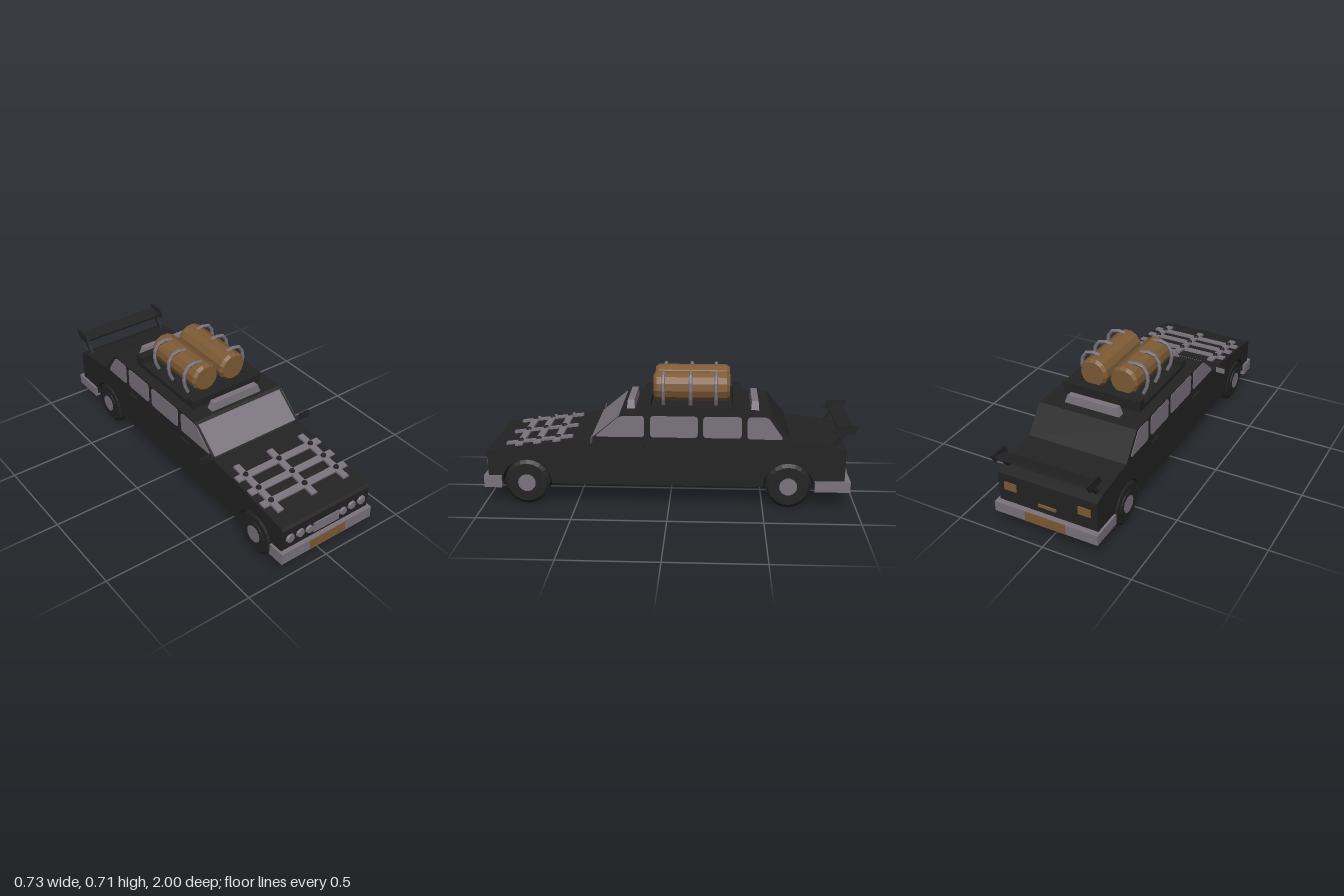
import * as THREE from 'three';

const mat = (name, color, extra = {}) => Object.assign(new THREE.MeshStandardMaterial({ color, ...extra }), { name });

export function createModel() {
  const car = new THREE.Group();
  car.name = 'armouredWagon';
  const black = mat('blackPaint', 0x232323);
  const grey = mat('greyMetal', 0x7a737d);
  const brown = mat('rustBrown', 0x7d5a35);
  const flatBrown = brown;
  flatBrown.flatShading = true;
  black.flatShading = true;
  grey.flatShading = true;

  const add = (name, geo, material, x = 0, y = 0, z = 0, rx = 0) => {
    const m = new THREE.Mesh(geo, material);
    m.name = name;
    m.position.set(x, y, z);
    m.rotation.x = rx;
    car.add(m);
    return m;
  };
  const box = (name, material, w, h, d, x, y, z, rx = 0) =>
    add(name, new THREE.BoxGeometry(w, h, d), material, x, y, z, rx);
  // extrude a side outline (drawn with -z across) along x, centred
  const sideSlab = (shape, width) => new THREE.ExtrudeGeometry(shape, { depth: width, bevelEnabled: false, curveSegments: 16 })
    .translate(0, 0, -width / 2).rotateY(Math.PI / 2);
  // polygon with rounded corners from [z, y] points
  const roundedOutline = (pts, r) => {
    const v = pts.map(([z, y]) => new THREE.Vector2(-z, y));
    const s = new THREE.Shape();
    v.forEach((p, i) => {
      const prev = v[(i + v.length - 1) % v.length], next = v[(i + 1) % v.length];
      const a = p.clone().add(prev.clone().sub(p).setLength(r));
      const b = p.clone().add(next.clone().sub(p).setLength(r));
      i ? s.lineTo(a.x, a.y) : s.moveTo(a.x, a.y);
      s.quadraticCurveTo(p.x, p.y, b.x, b.y);
    });
    s.closePath();
    return s;
  };

  // body shell with open wheel arches
  const FRONT = 0.765, REAR = -0.635, FLOOR = 0.118, ARCH = 0.135;
  const body = new THREE.Shape();
  body.moveTo(-0.97, FLOOR);
  for (const z of [FRONT, REAR]) {
    body.lineTo(-z - ARCH, FLOOR);
    body.absarc(-z, FLOOR, ARCH, Math.PI, 0, true);
  }
  [[-0.93, FLOOR], [-0.935, 0.325], [-0.88, 0.345], [-0.645, 0.37], [-0.535, 0.51], [0.25, 0.51],
    [0.415, 0.373], [0.76, 0.332], [0.965, 0.303], [0.977, 0.29]].forEach(([z, y]) => body.lineTo(-z, y));
  body.closePath();
  add('body', sideSlab(body, 0.568), black);

  // side windows
  const windows = [
    [[0.395, 0.387], [0.13, 0.387], [0.13, 0.503], [0.262, 0.5]],
    [[0.1, 0.387], [-0.152, 0.387], [-0.152, 0.503], [0.1, 0.503]],
    [[-0.18, 0.387], [-0.383, 0.387], [-0.383, 0.503], [-0.18, 0.503]],
    [[-0.412, 0.383], [-0.605, 0.383], [-0.52, 0.503], [-0.412, 0.503]],
  ];
  for (const side of [-1, 1]) {
    for (const w of windows) add('sideWindow', sideSlab(roundedOutline(w, 0.022), 0.006), grey, side * 0.284);
    for (const z of [0.167, -0.34]) box('doorHandle', black, 0.014, 0.02, 0.068, side * 0.289, 0.335, z);
    // door mirror
    box('mirrorStem', black, 0.04, 0.008, 0.012, side * 0.293, 0.375, 0.41);
    box('mirrorHousing', black, 0.062, 0.039, 0.01, side * 0.333, 0.386, 0.41);
    box('mirrorGlass', grey, 0.052, 0.03, 0.004, side * 0.333, 0.386, 0.404);
  }

  // windscreen lying on the slope
  const slope = Math.atan2(0.137, 0.165);
  box('windscreen', grey, 0.54, 0.008, 0.187, 0, 0.4375, 0.3375, slope);

  // headlights and grille
  for (const side of [-1, 1]) {
    for (const [x, y, r] of [[0.235, 0.228, 0.027], [0.17, 0.228, 0.026], [0.112, 0.22, 0.024]]) {
      add('headlight', new THREE.CylinderGeometry(r * 0.85, r, 0.012, 9), grey, side * x, y, 0.98, Math.PI / 2);
    }
    box('tailLight', brown, 0.07, 0.045, 0.008, side * 0.212, 0.255, -0.936);
  }
  box('grille', grey, 0.168, 0.057, 0.01, 0, 0.213, 0.977);
  box('tailStrip', brown, 0.1, 0.015, 0.008, 0, 0.2, -0.936);

  // wrap-around bumpers with plates
  const bumper = (dir, end, inner, h, y) => {
    const length = Math.abs(end - inner);
    box('bumper', grey, 0.594, h, 0.05, 0, y, end - dir * 0.025);
    for (const side of [-1, 1]) box('bumperSide', grey, 0.03, h, length, side * 0.282, y, (end + inner) / 2);
    box('numberPlate', brown, 0.232, 0.056, 0.006, 0, y + 0.002, end + dir * 0.001);
  };
  bumper(1, 0.996, 0.9, 0.066, 0.129);
  bumper(-1, -0.963, -0.775, 0.058, 0.127);

  // wheels and axles
  const tyre = new THREE.LatheGeometry([[0, -0.05], [0.105, -0.05], [0.123, -0.035], [0.123, 0.035], [0.105, 0.05], [0, 0.05]]
    .map(([r, h]) => new THREE.Vector2(r, h)), 20).rotateZ(-Math.PI / 2);
  for (const z of [FRONT, REAR]) {
    add('axle', new THREE.CylinderGeometry(0.04, 0.04, 0.4, 12).rotateZ(Math.PI / 2), black, 0, 0.123, z);
    for (const side of [-1, 1]) {
      add('tyre', tyre, black, side * 0.233, 0.123, z);
      add('wheelRim', new THREE.CylinderGeometry(0.073, 0.073, 0.016, 16).rotateZ(Math.PI / 2), black, side * 0.282, 0.123, z);
      add('hubcap', new THREE.CylinderGeometry(0.048, 0.048, 0.008, 14).rotateZ(Math.PI / 2), grey, side * 0.288, 0.123, z);
    }
  }

  // bonnet lattice with bolts
  const hoodTilt = Math.atan2(0.07, 0.55);
  const hoodY = z => 0.373 - (z - 0.415) * 0.122;
  for (const x of [-0.217, 0, 0.213]) {
    box('bonnetBar', grey, 0.036, 0.012, 0.362, x, hoodY(0.7) + 0.006, 0.7, hoodTilt);
    for (const z of [0.6, 0.705, 0.803]) {
      add('bonnetBolt', new THREE.CylinderGeometry(0.013, 0.016, 0.012, 8), black, x, hoodY(z) + 0.016, z, hoodTilt);
    }
  }
  for (const z of [0.6, 0.705, 0.803]) box('bonnetCrossBar', grey, 0.55, 0.012, 0.04, 0, hoodY(z) + 0.004, z, hoodTilt);

  // roof light bars, tapered towards the top
  for (const z of [0.21, -0.455]) {
    const g = new THREE.BoxGeometry(0.324, 0.05, 0.044);
    const p = g.attributes.position;
    for (let i = 0; i < p.count; i++) if (p.getY(i) > 0) p.setXYZ(i, p.getX(i) * 0.89, p.getY(i), p.getZ(i) * 0.8);
    g.computeVertexNormals();
    add('roofLightBar', g, grey, 0.007, 0.531, z);
  }

  // roof tray
  box('rackFloor', black, 0.45, 0.02, 0.54, 0, 0.518, -0.117);
  box('rackFrontRail', black, 0.45, 0.052, 0.053, 0, 0.531, 0.128);
  box('rackRearRail', black, 0.45, 0.067, 0.053, 0, 0.5385, -0.362);
  for (const side of [-1, 1]) box('rackSideRail', black, 0.04, 0.03, 0.54, side * 0.205, 0.522, -0.117);

  // drums and their straps
  const drum = new THREE.LatheGeometry([[0, -0.205], [0.068, -0.205], [0.081, -0.188], [0.081, 0.188], [0.068, 0.205], [0, 0.205]]
    .map(([r, h]) => new THREE.Vector2(r, h)), 13).rotateX(Math.PI / 2);
  const strapPath = [[0.172, 0.535], [0.196, 0.6], [0.18, 0.682], [0.14, 0.7], [0.085, 0.694]];
  for (const side of [-1, 1]) {
    add('drum', drum, brown, side * 0.089, 0.619, -0.115);
    for (const z of [0.035, -0.11, -0.245]) {
      const path = new THREE.CatmullRomCurve3(strapPath.map(([x, y]) => new THREE.Vector3(side * x, y, z)));
      add('drumStrap', new THREE.TubeGeometry(path, 6, 0.01, 6), grey);
    }
  }

  // rear spoiler
  const post = roundedOutline([[-0.86, 0.34], [-0.885, 0.34], [-0.945, 0.42], [-0.915, 0.42]], 0.002);
  const plate = roundedOutline([[-0.865, 0.41], [-0.97, 0.41], [-0.998, 0.46], [-0.89, 0.46]], 0.002);
  for (const side of [-1, 1]) {
    add('spoilerPost', sideSlab(post, 0.016), black, side * 0.25);
    add('spoilerEndPlate', sideSlab(plate, 0.012), black, side * 0.266);
  }
  box('spoilerWing', black, 0.53, 0.014, 0.08, 0, 0.43, -0.93, 0.25);

  return car;
}
